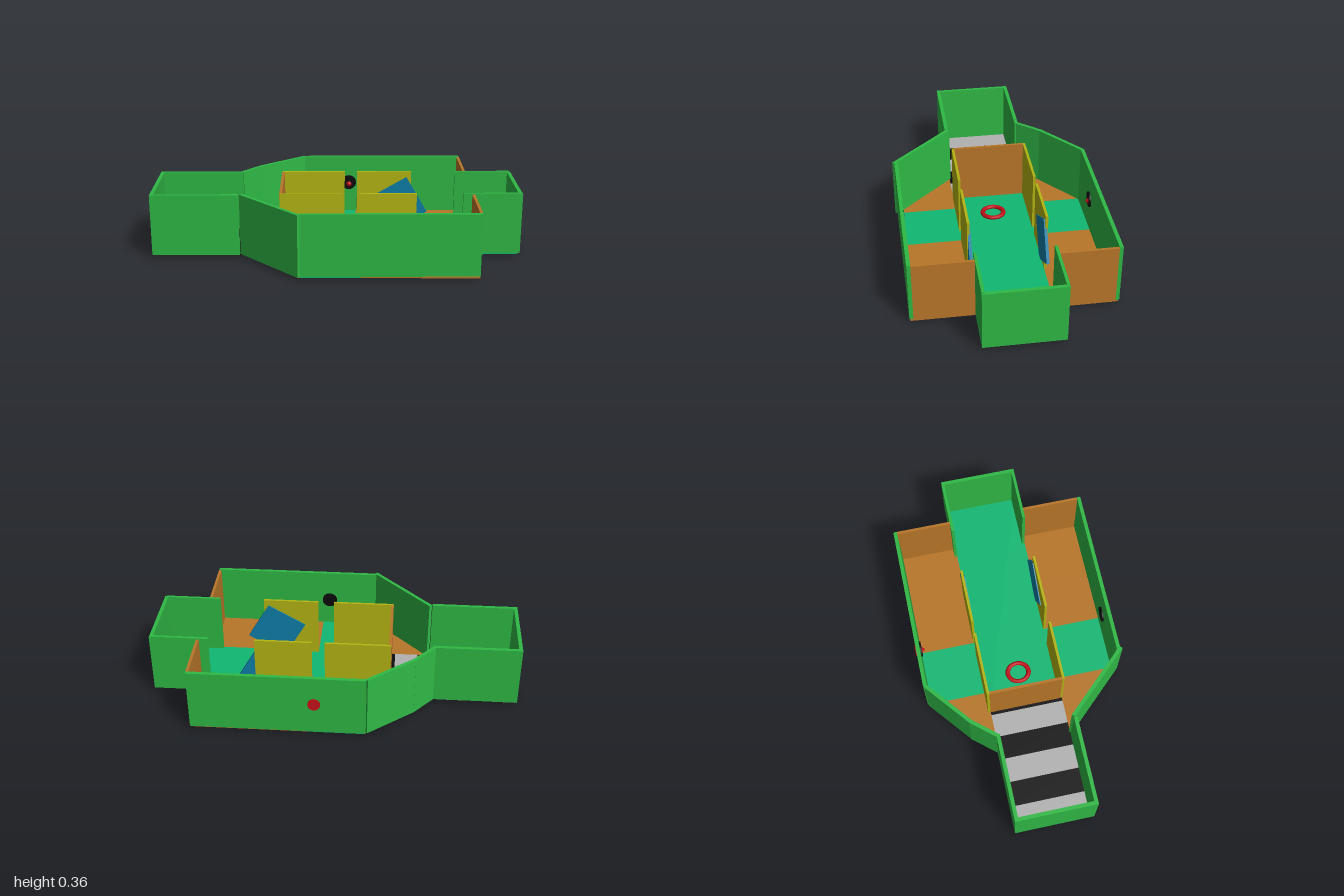
import * as THREE from 'three';

const GREEN = 0x2fb845, BROWN = 0xb87629, OLIVE = 0xb4b414, BLUE = 0x0e7fa8;
const TEAL = 0x10b873, RED = 0xc01018, BLACK = 0x0c0c0c, GREY = 0xb2b2b2;
const BASE = 0.02, TOP = 0.36;

export function createModel() {
  const model = new THREE.Group();
  model.name = 'walledPlayset';

  const add = (name, geometry, color) => {
    const mesh = new THREE.Mesh(geometry, new THREE.MeshStandardMaterial({ color }));
    mesh.name = name;
    model.add(mesh);
    return mesh;
  };

  // Upright wall whose centre line runs from (x1, z1) to (x2, z2)
  const wall = (name, color, x1, z1, x2, z2, t = 0.02, base = BASE, top = TOP) => {
    const dx = x2 - x1, dz = z2 - z1;
    const mesh = add(name, new THREE.BoxGeometry(Math.hypot(dx, dz), top - base, t), color);
    mesh.position.set((x1 + x2) / 2, (base + top) / 2, (z1 + z2) / 2);
    mesh.rotation.y = -Math.atan2(dz, dx);
  };

  // Flat floor piece from an (x, z) outline
  const floor = (name, color, points, top = 0.02, depth = 0.008) => {
    const shape = new THREE.Shape(points.map(([x, z]) => new THREE.Vector2(x, z)));
    const geo = new THREE.ExtrudeGeometry(shape, { depth, bevelEnabled: false });
    geo.rotateX(Math.PI / 2);
    add(name, geo, color).position.y = top;
  };
  const rect = (x1, z1, x2, z2) => [[x1, z1], [x2, z1], [x2, z2], [x1, z2]];

  // Striped entrance floor
  const stripes = [-0.99, -0.855, -0.72, -0.585, -0.455, -0.325, -0.3];
  for (let i = 0; i < stripes.length - 1; i++)
    floor('entranceStripe', i % 2 ? BLACK : GREY, rect(stripes[i], -0.21, stripes[i + 1], 0.2));

  // Cross-shaped central floor
  floor('mainFloor', TEAL, rect(-0.3, -0.21, 0.985, 0.2));
  floor('backCrossFloor', TEAL, rect(-0.19, -0.54, 0.12, -0.21));
  floor('frontCrossFloor', TEAL, rect(-0.19, 0.2, 0.12, 0.53));

  // Side room floors
  floor('backCornerFloor', BROWN, [[-0.53, -0.21], [-0.43, -0.335], [-0.19, -0.53], [-0.19, -0.21]]);
  floor('frontCornerFloor', BROWN, [[-0.51, 0.2], [-0.19, 0.2], [-0.19, 0.535]]);
  floor('backRoomFloor', BROWN, rect(0.12, -0.54, 0.74, -0.21));
  floor('frontRoomFloor', BROWN, rect(0.12, 0.2, 0.43, 0.53));
  floor('frontRoomFloorEnd', BROWN, rect(0.432, 0.2, 0.74, 0.53), 0.016);

  // Entrance corridor walls
  wall('entranceEndWall', GREEN, -0.99, -0.21, -0.99, 0.21);
  wall('entranceBackWall', GREEN, -1, -0.21, -0.53, -0.21);
  wall('entranceFrontWall', GREEN, -1, 0.21, -0.525, 0.21);

  // Slanted and long outer walls
  wall('backSlantWall', GREEN, -0.535, -0.215, -0.43, -0.34);
  wall('backSlantWall', GREEN, -0.435, -0.335, -0.19, -0.535);
  wall('frontSlantWall', GREEN, -0.515, 0.2, -0.195, 0.54);
  wall('backLongWall', GREEN, -0.19, -0.537, 0.74, -0.537);
  wall('frontLongWall', GREEN, -0.195, 0.525, 0.74, 0.525);

  // Room end walls
  wall('backRoomEndWall', BROWN, 0.735, -0.527, 0.735, -0.22, 0.015, 0.012, 0.355);
  wall('frontRoomEndWall', BROWN, 0.735, 0.2, 0.735, 0.515, 0.015, 0.01, 0.355);

  // Far corridor walls
  wall('farBackWall', GREEN, 0.68, -0.217, 0.99, -0.217, 0.016);
  wall('farFrontWall', GREEN, 0.68, 0.192, 0.99, 0.192, 0.016);
  wall('farEndWall', GREEN, 0.99, -0.225, 0.99, 0.2, 0.02, BASE, 0.355);

  // Inner partitions
  wall('innerCrossWall', BROWN, -0.3, -0.21, -0.3, 0.19, 0.015);
  for (const [z, gap] of [[-0.217, 0.05], [0.195, 0.03]]) {
    wall('innerPartition', OLIVE, -0.305, z, gap, z, 0.014);
    wall('innerPartition', OLIVE, 0.12, z, 0.43, z, 0.014);
  }

  // Tilted square panels beside the partitions
  for (const z of [-0.212, 0.19]) {
    const panel = add('tiltedPanel', new THREE.BoxGeometry(0.24, 0.24, 0.016), BLUE);
    panel.position.set(0.36, 0.164, z);
    panel.rotation.z = Math.PI / 6;
  }

  // Ring lying on the floor
  const ring = add('floorRing', new THREE.TorusGeometry(0.054, 0.012, 10, 32), RED);
  ring.rotation.x = Math.PI / 2;
  ring.scale.y = 1.1;
  ring.position.set(-0.11, 0.03, -0.01);

  // Round targets on the inside of the long walls
  for (const [x, y, z] of [[0.08, 0.2, -0.525], [0.08, 0.18, 0.513]]) {
    const disc = add('wallTarget', new THREE.CylinderGeometry(0.043, 0.043, 0.012, 28), BLACK);
    disc.rotation.x = Math.PI / 2;
    disc.position.set(x, y, z);
  }

  // Red peg through the back wall, with its point inside
  const head = add('pegHead', new THREE.CylinderGeometry(0.033, 0.033, 0.012, 24), RED);
  head.rotation.x = Math.PI / 2 + 0.1;
  head.position.set(0.08, 0.2, -0.549);
  const point = add('pegPoint', new THREE.ConeGeometry(0.018, 0.02, 20), RED);
  point.rotation.x = Math.PI / 2;
  point.position.set(0.08, 0.19, -0.511);

  return model;
}
